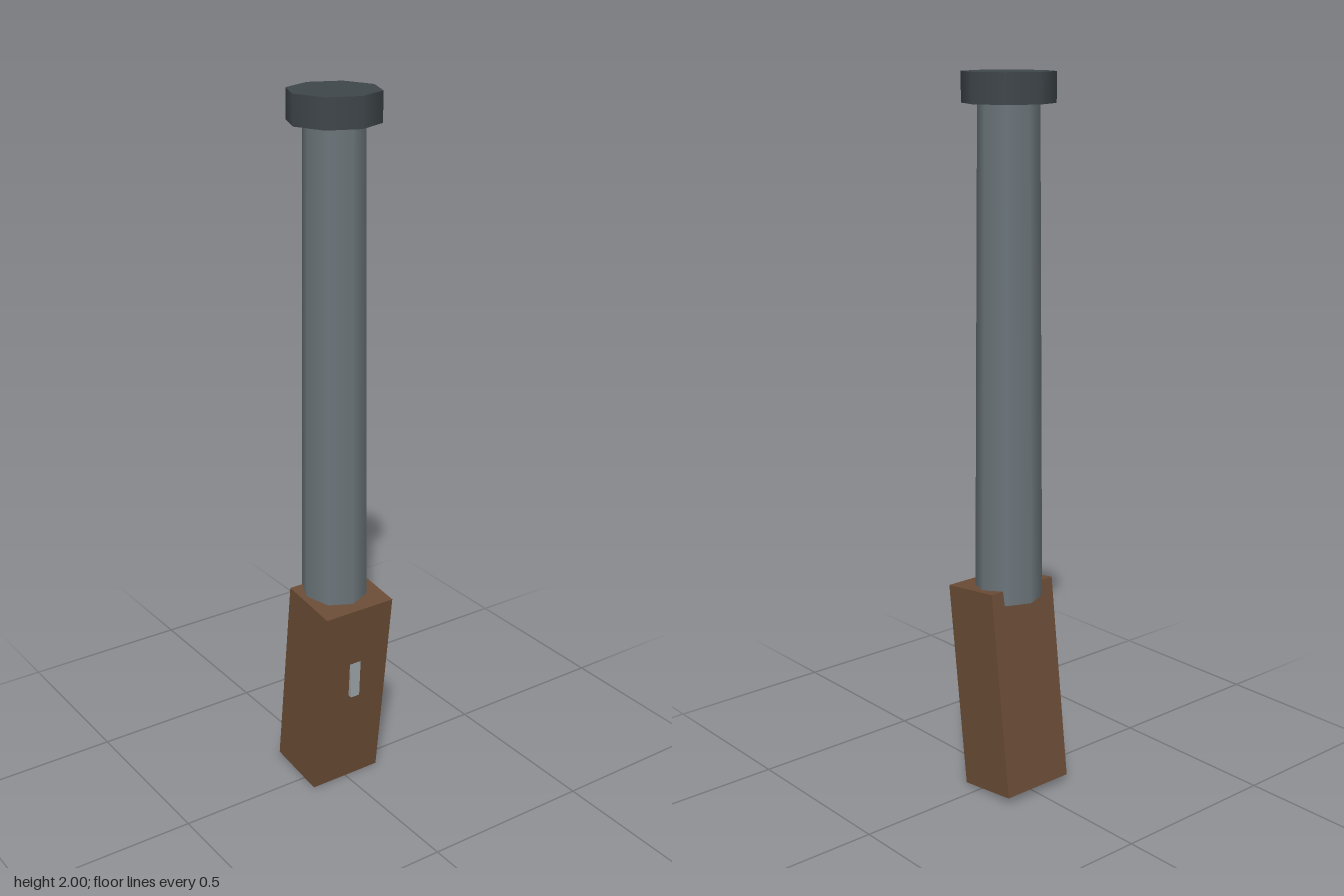
import * as THREE from 'three';

const paint = (color) => {
  const material = new THREE.MeshStandardMaterial();
  material.color.set(color);
  return material;
};

function addPart(group, name, geometry, color, x, y, z) {
  const mesh = new THREE.Mesh(geometry, paint(color));
  mesh.name = name;
  mesh.position.set(x, y, z);
  group.add(mesh);
  return mesh;
}

export function createModel() {
  const model = new THREE.Group();
  model.name = 'longBarrel';

  // Wooden grip, leaning forward at the top
  const grip = addPart(model, 'grip', new THREE.BoxGeometry(0.222, 0.59, 0.186), 0x6b4c36, 0, 0.307, 0);
  grip.rotation.x = 0.12;

  // Slightly tapered eight-sided barrel
  addPart(model, 'barrel', new THREE.CylinderGeometry(0.082, 0.094, 1.37, 8), 0x6b757a, 0, 1.255, 0);

  // Wider collar at the muzzle
  addPart(model, 'muzzleCollar', new THREE.CylinderGeometry(0.124, 0.124, 0.08, 8), 0x3f464a, 0, 1.96, 0);

  // Small trigger, narrowing downwards
  const triggerShape = new THREE.Shape([
    new THREE.Vector2(-0.014, 0.3),
    new THREE.Vector2(0.014, 0.3),
    new THREE.Vector2(0.019, 0.42),
    new THREE.Vector2(-0.019, 0.42),
  ]);
  const triggerGeometry = new THREE.ExtrudeGeometry(triggerShape, { depth: 0.04, bevelEnabled: false });
  addPart(model, 'trigger', triggerGeometry, 0x9aa2a6, 0, 0, 0.066);

  return model;
}
